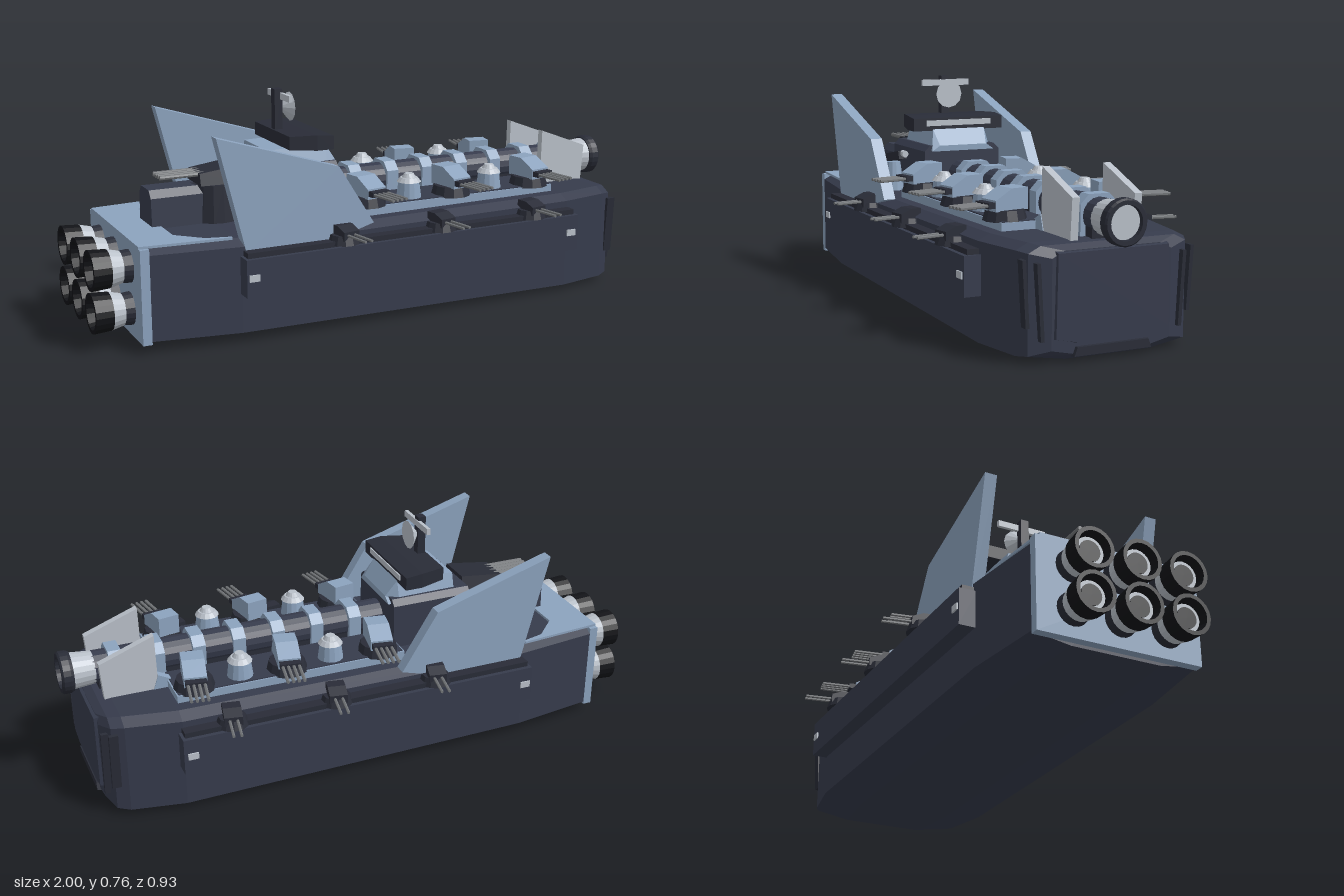
import * as THREE from 'three';

const mat = (name, color) => {
  const m = new THREE.MeshStandardMaterial({ color, flatShading: true });
  m.name = name;
  return m;
};

export function createModel() {
  const navy = mat('hull navy', 0x363b4c);
  const dark = mat('dark steel', 0x292c37);
  const blue = mat('blue grey', 0x8ca3be);
  const pale = mat('pale grey', 0xbac1ca);
  const gun = mat('gun grey', 0x74777a);
  const black = mat('black', 0x121317);
  const ship = new THREE.Group();
  ship.name = 'battleship';

  const add = (name, geo, m, x = 0, y = 0, z = 0, parent = ship) => {
    const mesh = new THREE.Mesh(geo, m);
    mesh.name = name;
    mesh.position.set(x, y, z);
    parent.add(mesh);
    return mesh;
  };
  const box = (name, m, w, h, d, x, y, z, parent) =>
    add(name, new THREE.BoxGeometry(w, h, d), m, x, y, z, parent);
  const cyl = (name, m, r1, r2, h, x, y, z, parent, n = 12) =>
    add(name, new THREE.CylinderGeometry(r1, r2, h, n), m, x, y, z, parent);
  // Cylinder lying along x; the first radius is at the +x end
  const cylX = (name, m, r1, r2, h, x, y, z, n = 20) =>
    add(name, new THREE.CylinderGeometry(r1, r2, h, n).rotateZ(-Math.PI / 2), m, x, y, z);

  // Skin over mirrored half sections; each is [x, [[z, y], ...from top to bottom]]
  const loft = (name, m, sections) => {
    const rings = sections.map(([x, half]) => [
      ...half.map(([z, y]) => [x, y, z]),
      ...half.slice().reverse().map(([z, y]) => [x, y, -z]),
    ]);
    const p = [];
    const tri = (...v) => v.forEach((q) => p.push(...q));
    const n = rings[0].length;
    for (let s = 0; s < rings.length - 1; s++) {
      const a = rings[s], b = rings[s + 1];
      for (let i = 0; i < n; i++) {
        const j = (i + 1) % n;
        tri(a[i], a[j], b[j]);
        tri(a[i], b[j], b[i]);
      }
    }
    const f = rings[0], l = rings[rings.length - 1];
    for (let i = 1; i < n - 1; i++) {
      tri(f[0], f[i + 1], f[i]);
      tri(l[0], l[i], l[i + 1]);
    }
    const g = new THREE.BufferGeometry();
    g.setAttribute('position', new THREE.Float32BufferAttribute(p, 3));
    g.computeVertexNormals();
    return add(name, g, m);
  };
  // Flat plate with an outline in the xy plane, centred on z
  const plate = (name, m, pts, t, z) => {
    const shape = new THREE.Shape(pts.map((q) => new THREE.Vector2(...q)));
    const g = new THREE.ExtrudeGeometry(shape, { depth: t, bevelEnabled: false });
    return add(name, g, m, 0, 0, z - t / 2);
  };

  // Hull
  const hullSection = (x, w, top, bot) => [x, [[w - 0.04, top], [w, top - 0.02], [w, bot + 0.02], [w * 0.54, bot]]];
  loft('hull', navy, [
    hullSection(-0.84, 0.28, 0.34, 0.02), hullSection(-0.55, 0.315, 0.34, 0.015),
    hullSection(0.68, 0.318, 0.35, 0.0), hullSection(0.86, 0.285, 0.35, 0.0),
    hullSection(0.9, 0.265, 0.345, 0.005), hullSection(0.925, 0.2, 0.33, 0.02),
  ]);
  loft('bowPlate', navy, [
    [0.9, [[0.19, 0.335], [0.2, 0.07], [0.13, 0.05]]],
    [0.935, [[0.185, 0.325], [0.19, 0.075], [0.12, 0.06]]],
  ]);
  loft('bowChin', dark, [
    [0.88, [[0.13, 0.05], [0.14, 0.012]]], [0.935, [[0.12, 0.045], [0.13, 0.018]]],
  ]);

  // Stern plate and pale deck edge
  box('sternPlate', blue, 0.03, 0.31, 0.56, -0.855, 0.185, 0);
  const apron = new THREE.Shape([
    [-0.87, -0.265], [-0.57, -0.29], [-0.57, -0.28], [-0.65, -0.26], [-0.73, -0.18],
    [-0.73, 0.18], [-0.65, 0.26], [-0.57, 0.28], [-0.57, 0.29], [-0.87, 0.265],
  ].map((q) => new THREE.Vector2(...q)));
  add('sternDeck', new THREE.ExtrudeGeometry(apron, { depth: 0.008, bevelEnabled: false })
    .rotateX(-Math.PI / 2), blue, 0, 0.34, 0);

  // Six engines
  for (const y of [0.12, 0.26]) for (const z of [-0.16, 0, 0.16]) {
    cylX('engineNeck', dark, 0.055, 0.05, 0.06, -0.885, y, z);
    cylX('engineCollar', pale, 0.052, 0.062, 0.04, -0.92, y, z);
    const bell = [[0.045, -0.06], [0.062, -0.06], [0.066, 0], [0.053, 0], [0.045, -0.04]]
      .map((q) => new THREE.Vector2(...q));
    add('engineBell', new THREE.LatheGeometry(bell, 20).rotateZ(Math.PI / 2), black, -1, y, z);
    cylX('engineLining', pale, 0.042, 0.046, 0.012, -0.965, y, z);
    cylX('engineCore', black, 0.034, 0.034, 0.012, -0.968, y, z);
  }

  // Row of parallel barrels pointing along local +z
  const barrels = (parent, n, gap, r, y, z0, z1) => {
    for (let i = 0; i < n; i++) {
      const g = new THREE.CylinderGeometry(r, r, z1 - z0, 6).rotateX(Math.PI / 2);
      add('barrel', g, gun, (i - (n - 1) / 2) * gap, y, (z0 + z1) / 2, parent);
    }
  };
  const mount = (name, x, y, z, side) => {
    const g = new THREE.Group();
    g.name = name;
    g.position.set(x, y, z * side);
    g.rotation.y = side > 0 ? 0.18 : Math.PI - 0.18;
    ship.add(g);
    return g;
  };
  // Wedge housing: low at the outer end, high at the inner end
  const wedge = (w, d, hIn, hOut) => {
    const s = new THREE.Shape([[-d / 2, 0], [d / 2, 0], [d / 2, hOut], [0, hIn], [-d / 2, hIn]]
      .map((q) => new THREE.Vector2(...q)));
    return new THREE.ExtrudeGeometry(s, { depth: w, bevelEnabled: false })
      .translate(0, 0, -w / 2).rotateY(-Math.PI / 2);
  };

  for (const s of [-1, 1]) {
    // Side armour, lamps and bow ribs
    box('sideArmour', navy, 1.25, 0.125, 0.06, 0.07, 0.228, s * 0.34);
    box('sideArmourCap', dark, 1.23, 0.02, 0.045, 0.07, 0.298, s * 0.333);
    for (const x of [-0.53, 0.665]) box('sideLamp', pale, 0.035, 0.022, 0.014, x, 0.23, s * 0.368);
    for (const [x, z, h, y] of [[0.897, 0.277, 0.2, 0.21], [0.915, 0.238, 0.23, 0.185]]) {
      box('bowRib', dark, 0.03, h, 0.012, x, y, s * z).rotation.x = s * 0.06;
    }

    // Broadside guns
    for (const x of [-0.2, 0.16, 0.52]) {
      const g = mount('sideTurret', x, 0.3, 0.33, s);
      cyl('turretBase', dark, 0.045, 0.055, 0.03, 0, 0.01, 0, g);
      add('turretHousing', wedge(0.06, 0.075, 0.045, 0.03), dark, 0, 0.01, 0.005, g);
      barrels(g, 2, 0.025, 0.005, 0.028, 0.03, 0.135);
    }

    // Deck terrace
    box('terrace', blue, 0.8, 0.04, 0.17, 0.27, 0.355, s * 0.15);
    box('terraceTop', navy, 0.79, 0.005, 0.16, 0.27, 0.376, s * 0.15);

    // Four barrel deck guns
    for (const x of [-0.05, 0.28, 0.6]) {
      const g = mount('deckTurret', x, 0.375, 0.19, s);
      cyl('turretRing', dark, 0.06, 0.07, 0.035, 0, 0.015, 0, g);
      add('turretHousing', wedge(0.075, 0.12, 0.068, 0.035), blue, 0, 0.03, 0, g);
      box('gunCradle', dark, 0.07, 0.018, 0.04, 0, 0.05, 0.065, g);
      barrels(g, 4, 0.018, 0.0055, 0.05, 0.06, 0.185);
    }

    // Domed turrets
    for (const x of [0.12, 0.44]) {
      cyl('domeDrum', blue, 0.036, 0.044, 0.06, x, 0.405, s * 0.18, ship, 14);
      cyl('domeCollar', pale, 0.03, 0.042, 0.015, x, 0.44, s * 0.18, ship, 14);
      cyl('domeCap', pale, 0.016, 0.026, 0.016, x, 0.453, s * 0.18, ship, 14);
    }

    // Fins and bow shields
    plate('fin', blue, [[-0.535, 0.3], [-0.24, 0.3], [-0.085, 0.345], [-0.21, 0.545], [-0.628, 0.675]], 0.042, s * 0.297);
    const shield = plate('bowShield', pale, [[0.7, 0.335], [0.88, 0.345], [0.89, 0.475], [0.705, 0.545]], 0.025, s * 0.105);
    shield.name = 'bowShield';
    plate('shieldBrace', blue, [[0.58, 0.34], [0.72, 0.34], [0.7, 0.4]], 0.03, s * 0.105);
  }

  // Spinal cannon with ribs and muzzle
  cylX('spinalBarrel', navy, 0.055, 0.055, 1.12, 0.36, 0.41, 0, 16);
  box('spinalBed', dark, 1.06, 0.06, 0.09, 0.35, 0.365, 0);
  for (let i = 0; i < 7; i++) {
    const x = -0.02 + i * 0.14;
    loft('spinalRib', blue, [x - 0.022, x + 0.022].map((q) =>
      [q, [[0.035, 0.474], [0.063, 0.445], [0.063, 0.345]]]));
  }
  cylX('muzzleCollar', pale, 0.062, 0.055, 0.075, 0.925, 0.41, 0);
  const muzzle = [[0.056, -0.04], [0.066, -0.04], [0.071, -0.03], [0.071, -0.006], [0.066, 0], [0.053, 0], [0.05, -0.04]]
    .map((q) => new THREE.Vector2(...q));
  add('muzzleRing', new THREE.LatheGeometry(muzzle, 24).rotateZ(-Math.PI / 2), dark, 1, 0.41, 0);
  cylX('muzzleCore', pale, 0.053, 0.053, 0.02, 0.975, 0.41, 0);

  // Bridge tower
  loft('towerBase', navy, [-0.42, -0.13].map((x) => [x, [[0.125, 0.52], [0.145, 0.5], [0.145, 0.335]]]));
  loft('towerNeck', blue, [
    [-0.37, [[0.1, 0.57], [0.12, 0.5]]], [-0.16, [[0.1, 0.575], [0.12, 0.51]]],
    [-0.12, [[0.09, 0.52], [0.12, 0.5]]],
  ]);
  loft('bridge', dark, [
    [-0.31, [[0.15, 0.62], [0.15, 0.575]]], [-0.22, [[0.173, 0.622], [0.173, 0.57]]],
    [-0.16, [[0.173, 0.615], [0.173, 0.57]]],
  ]);
  box('bridgeWindow', pale, 0.006, 0.02, 0.25, -0.159, 0.597, 0);

  // Mast with dish and crossbar
  box('mast', dark, 0.028, 0.15, 0.03, -0.29, 0.682, 0);
  cylX('dish', pale, 0.05, 0.012, 0.03, -0.259, 0.693, 0, 12);
  box('crossbar', pale, 0.012, 0.022, 0.182, -0.279, 0.733, 0);

  // Tilted rangefinder beside the tower
  cyl('finderPost', blue, 0.025, 0.04, 0.11, -0.33, 0.39, 0.185);
  const finder = box('rangefinder', dark, 0.14, 0.03, 0.035, -0.35, 0.46, 0.185);
  finder.rotation.set(0, 0.25, 0.2);
  cylX('finderLens', pale, 0.012, 0.012, 0.03, -0.277, 0.478, 0.165, 10);

  // Aft turret
  loft('aftRidge', navy, [
    [-0.76, [[0.04, 0.465], [0.06, 0.44], [0.065, 0.335]]],
    [-0.4, [[0.04, 0.465], [0.06, 0.44], [0.065, 0.335]]],
  ]);
  cyl('aftBarbette', dark, 0.085, 0.095, 0.13, -0.52, 0.4, 0, ship, 16);
  loft('aftTurret', dark, [
    [-0.59, [[0.055, 0.505], [0.065, 0.465]]], [-0.43, [[0.06, 0.525], [0.075, 0.465]]],
  ]);
  for (const z of [-0.033, -0.011, 0.011, 0.033]) cylX('aftBarrel', gun, 0.008, 0.008, 0.16, -0.64, 0.5, z, 8);

  return ship;
}
